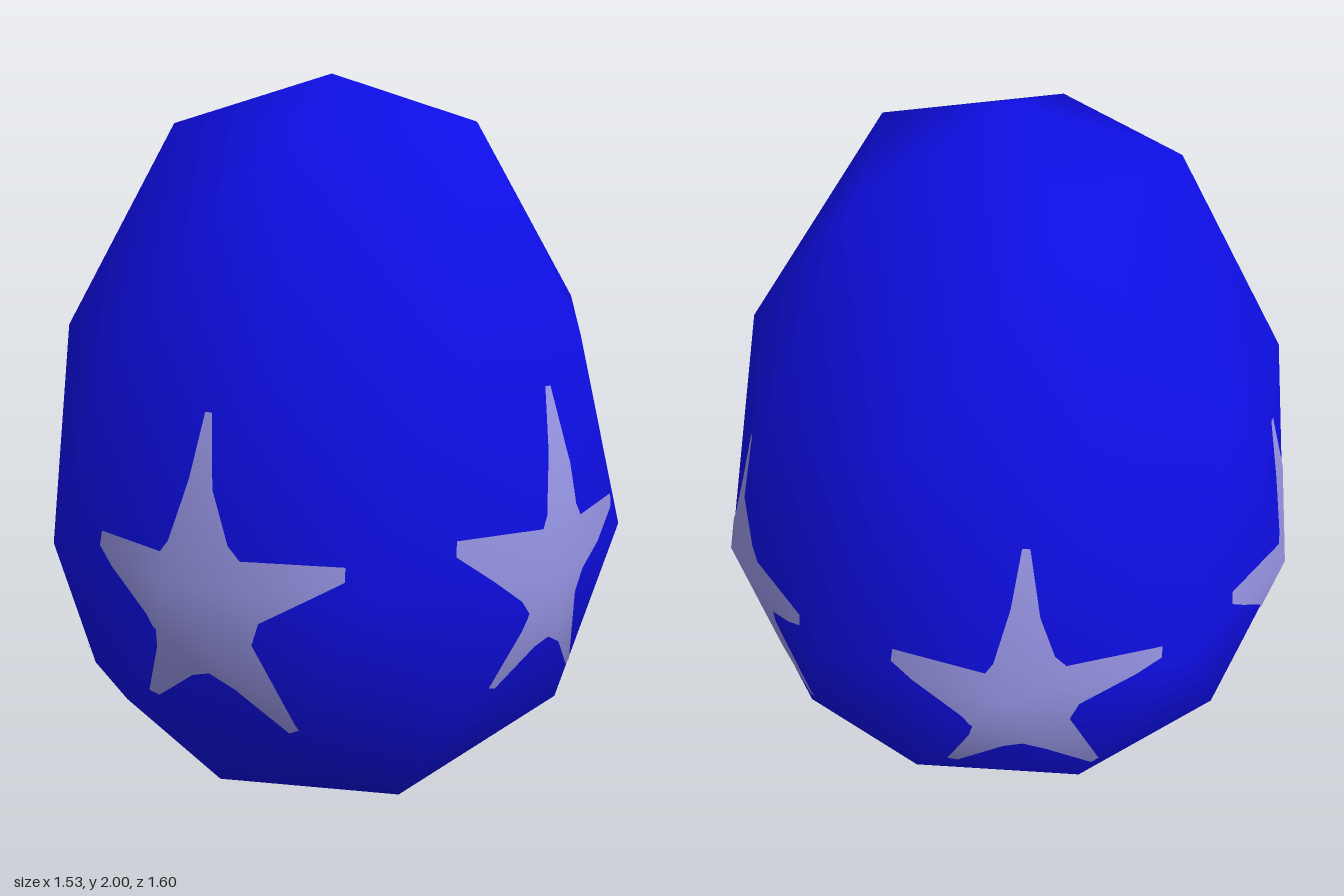
import * as THREE from 'three';
import { mergeVertices } from 'three/addons/utils/BufferGeometryUtils.js';

const blue = new THREE.MeshStandardMaterial({ color: 0x0e0ee6 });
blue.name = 'shell blue';
const lilac = new THREE.MeshStandardMaterial({ color: 0x9896e6 });
lilac.name = 'star lilac';

// Egg height for each ring of a unit icosphere standing on a corner
const RINGS = [[1, 2], [0.851, 1.87], [0.526, 1.4], [0.447, 1.34], [0, 0.8],
  [-0.447, 0.43], [-0.526, 0.37], [-0.851, 0.11], [-1, 0]];

// Slightly hand-drawn star outline, clockwise from the tip
const STAR = [[0.074, 1.235], [0.1, 1.06], [0.137, 0.935], [0.165, 0.9], [0.4, 0.9], [0.4, 0.865],
  [0.2, 0.748], [0.178, 0.69], [0.262, 0.465], [0.24, 0.457], [0.127, 0.565], [0.06, 0.6], [0.01, 0.585],
  [-0.11, 0.5], [-0.137, 0.51], [-0.075, 0.65], [-0.065, 0.7], [-0.09, 0.735], [-0.265, 0.87],
  [-0.26, 0.907], [-0.03, 0.907], [-0.01, 0.935], [0.03, 1.08], [0.055, 1.235]];

function eggGeometry() {
  let geo = new THREE.IcosahedronGeometry(1, 1);
  geo.rotateZ(-Math.atan2(1, (1 + Math.sqrt(5)) / 2));
  geo.deleteAttribute('uv');
  geo.deleteAttribute('normal');
  geo = mergeVertices(geo, 1e-3);
  const p = geo.attributes.position;
  for (let i = 0; i < p.count; i++) {
    const y = p.getY(i);
    const ring = RINGS.reduce((a, b) => (Math.abs(b[0] - y) < Math.abs(a[0] - y) ? b : a));
    p.setXYZ(i, p.getX(i) * 0.8, ring[1], p.getZ(i) * 0.8);
  }
  geo.computeVertexNormals();
  return geo;
}

const cross = (a, b, c) => (b.x - a.x) * (c.y - a.y) - (b.y - a.y) * (c.x - a.x);

// Clip a convex polygon to a counter-clockwise triangle
function clip(poly, tri) {
  for (let e = 0; e < 3; e++) {
    const a = tri[e], b = tri[(e + 1) % 3], out = [];
    poly.forEach((p, i) => {
      const q = poly[(i + 1) % poly.length];
      const dp = cross(a, b, p), dq = cross(a, b, q);
      if (dp >= 0) out.push(p);
      if ((dp >= 0) !== (dq >= 0)) out.push(p.clone().lerp(q, dp / (dp - dq)));
    });
    poly = out;
  }
  return poly;
}

// Lay the star onto the facets of the egg's front, just above the shell
function starGeometry(egg, dy) {
  const outline = STAR.map(([x, y]) => new THREE.Vector2(x, y + dy)).reverse();
  const pieces = THREE.ShapeUtils.triangulateShape(outline, []).map((f) => {
    const t = f.map((i) => outline[i]);
    return cross(...t) < 0 ? t.reverse() : t;
  });
  const pos = egg.attributes.position, nor = egg.attributes.normal, index = egg.index.array;
  const positions = [], normals = [];
  for (let i = 0; i < index.length; i += 3) {
    const ids = [index[i], index[i + 1], index[i + 2]];
    const v = ids.map((k) => new THREE.Vector3().fromBufferAttribute(pos, k));
    const n = ids.map((k) => new THREE.Vector3().fromBufferAttribute(nor, k));
    const area = cross(...v);
    if (area < 1e-5) continue;
    const lift = (p) => {
      const w = [cross(v[1], v[2], p) / area, cross(v[2], v[0], p) / area, cross(v[0], v[1], p) / area];
      const blend = (s) => new THREE.Vector3().addScaledVector(s[0], w[0])
        .addScaledVector(s[1], w[1]).addScaledVector(s[2], w[2]);
      const normal = blend(n).normalize();
      positions.push(...blend(v).addScaledVector(normal, 0.003).toArray());
      normals.push(...normal.toArray());
    };
    for (const piece of pieces) {
      const poly = clip(piece, v);
      for (let k = 1; k + 1 < poly.length; k++) [poly[0], poly[k], poly[k + 1]].forEach(lift);
    }
  }
  const geo = new THREE.BufferGeometry();
  geo.setAttribute('position', new THREE.Float32BufferAttribute(positions, 3));
  geo.setAttribute('normal', new THREE.Float32BufferAttribute(normals, 3));
  return geo;
}

export function createModel() {
  const group = new THREE.Group();
  group.name = 'starEgg';

  const egg = eggGeometry();
  const shell = new THREE.Mesh(egg, blue);
  shell.name = 'shell';
  group.add(shell);

  // Five stars around the belly; the front one sits a little higher
  const front = starGeometry(egg, 0), side = starGeometry(egg, -0.03);
  for (let k = 0; k < 5; k++) {
    const star = new THREE.Mesh(k === 0 ? front : side, lilac);
    star.rotation.y = (k * Math.PI * 2) / 5;
    star.name = 'star' + (k + 1);
    group.add(star);
  }
  return group;
}
